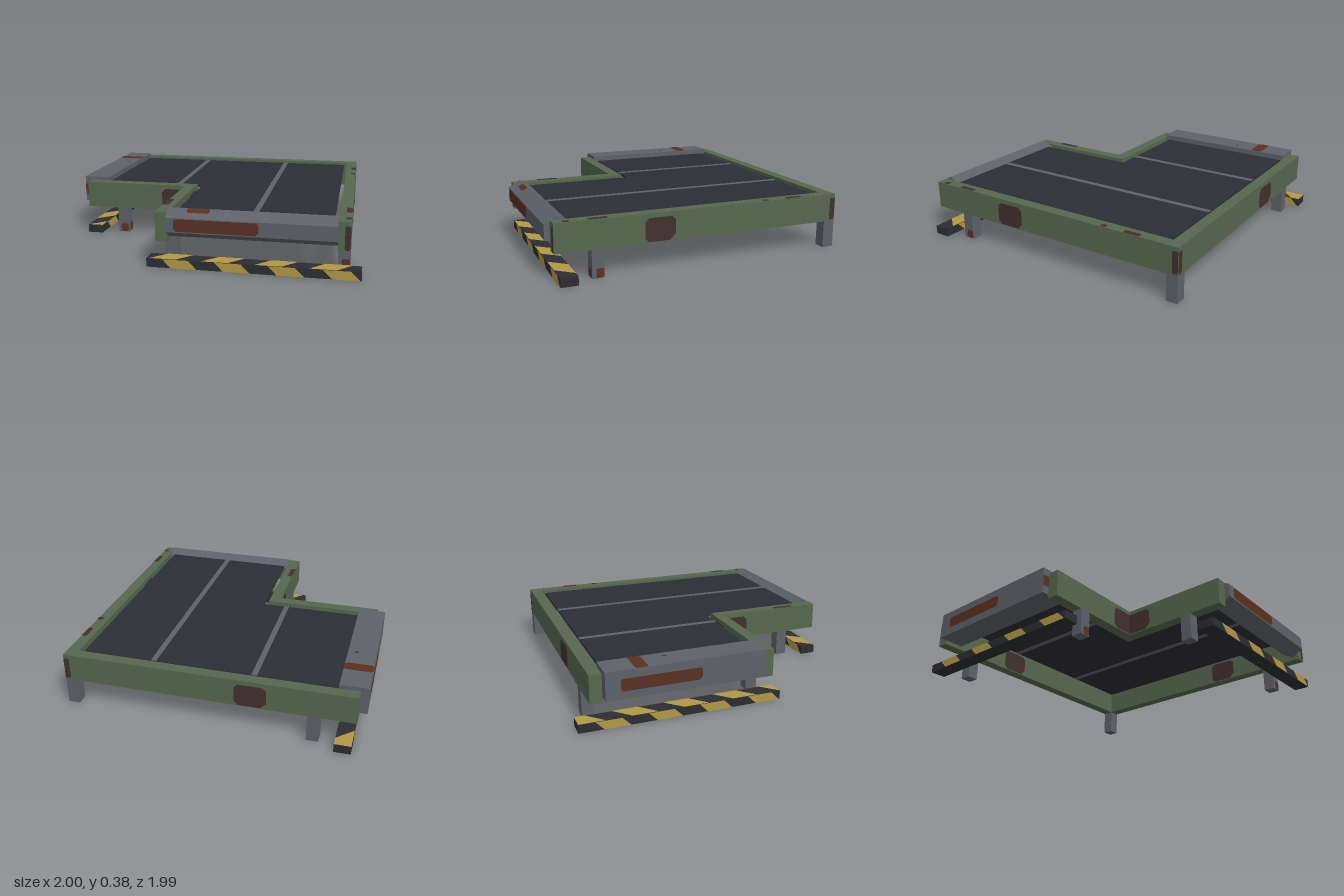
import * as THREE from 'three';
import { mergeGeometries } from 'three/addons/utils/BufferGeometryUtils.js';

const V = (x, y, z) => new THREE.Vector3(x, y, z);
const AXES = { px: V(1, 0, 0), nx: V(-1, 0, 0), py: V(0, 1, 0), ny: V(0, -1, 0), pz: V(0, 0, 1), nz: V(0, 0, -1) };

export function createModel() {
  const group = new THREE.Group();
  const material = (name, color) => {
    const m = new THREE.MeshStandardMaterial({ color });
    m.name = name;
    return m;
  };
  const green = material('green paint', 0x56674f);
  const steel = material('grey steel', 0x5e6169);
  const rubber = material('dark rubber', 0x2d2d36);
  const yellow = material('hazard yellow', 0xb39943);
  const black = material('hazard black', 0x2c2d32);
  const rust = material('rust', 0x5a3022);
  const darkRust = material('dark rust', 0x432f2f);

  const add = (name, geometry, mat) => {
    const mesh = new THREE.Mesh(geometry, mat);
    mesh.name = name;
    group.add(mesh);
    return mesh;
  };
  // Box given by its minimum and maximum corners
  const box = (name, mat, x0, x1, y0, y1, z0, z1) => {
    const g = new THREE.BoxGeometry(x1 - x0, y1 - y0, z1 - z0);
    g.translate((x0 + x1) / 2, (y0 + y1) / 2, (z0 + z1) / 2);
    return add(name, g, mat);
  };
  // Flat polygon on a face: points are [u, v] along two directions, lifted off the surface
  const flat = (points, origin, u, v) => {
    const n = u.clone().cross(v);
    const g = new THREE.ShapeGeometry(new THREE.Shape(points.map(p => new THREE.Vector2(...p))));
    g.applyMatrix4(new THREE.Matrix4().makeBasis(u, v, n).setPosition(origin.clone().addScaledVector(n, 0.002)));
    return g;
  };
  // Worn patch with clipped corners
  const patch = (name, mat, origin, u, v, w, h) => {
    const c = Math.min(w, h) * 0.16;
    add(name, flat([[c, 0], [w - c * 1.5, 0], [w, c * 1.5], [w, h - c], [w - c, h], [c, h], [0, h - c], [0, c]],
      origin, u, v), mat);
  };
  const { px, nx, py, ny, pz, nz } = AXES;

  // Side rails around the L-shaped bed
  const Y0 = 0.175, Y1 = 0.355;
  box('backRail', green, -0.95, 0.93, Y0, Y1, -0.93, -0.855);
  box('leftRail', green, 0.855, 0.93, Y0, Y1, -0.855, 0.955);
  box('innerFrontRail', green, -0.95, -0.16, Y0, Y1, 0.16, 0.235);
  box('innerSideRail', green, -0.235, -0.16, Y0, Y1, 0.235, 0.955);

  // Worn paint on both sides of every rail
  for (const z of [-0.93, 0.16]) patch('railWear', darkRust, V(-0.2, 0.18, z), nx, py, 0.2, 0.147);
  for (const z of [-0.855, 0.235]) patch('railWear', darkRust, V(-0.4, 0.18, z), px, py, 0.2, 0.147);
  for (const x of [0.93, -0.16]) patch('railWear', darkRust, V(x, 0.18, 0.405), nz, py, 0.195, 0.147);
  for (const x of [0.855, -0.235]) patch('railWear', darkRust, V(x, 0.18, 0.21), pz, py, 0.195, 0.147);
  // Worn spots on rail tops, corner and rail end
  for (const [x, z, d] of [[0.895, -0.56, 0.11], [0.895, 0.75, 0.12], [-0.235, 0.78, 0.15], [0.895, 0.9, 0.04], [0.895, -0.395, 0.04]])
    patch('railTopWear', darkRust, V(x, Y1, z), px, nz, 0.035, d);
  patch('cornerPlate', steel, V(0.89, Y1, -0.89), px, nz, 0.038, 0.038);
  patch('cornerWear', darkRust, V(0.93, 0.185, -0.89), nz, py, 0.038, 0.145);
  patch('cornerWear', darkRust, V(0.93, 0.185, -0.93), nx, py, 0.038, 0.145);
  patch('endWear', darkRust, V(0.895, 0.185, 0.955), px, py, 0.033, 0.145);

  // L-shaped belt
  const outline = [[-0.82, 0.83], [-0.82, -0.13], [-0.13, -0.13], [-0.13, -0.85], [0.83, -0.85], [0.83, 0.83]];
  const belt = new THREE.ExtrudeGeometry(new THREE.Shape(outline.map(p => new THREE.Vector2(...p))),
    { depth: 0.015, bevelEnabled: false });
  belt.rotateX(-Math.PI / 2).translate(0, 0.327, 0);
  add('belt', belt, rubber);

  // Belt seams, top and underside
  for (const [x, z1] of [[-0.3, 0.13], [0.355, 0.85]])
    box('beltSeam', steel, x - 0.018, x + 0.018, 0.325, 0.344, -0.83, z1);

  // Hexagonal front roller
  const roller = new THREE.CylinderGeometry(0.09, 0.09, 1.015, 6).toNonIndexed();
  roller.rotateZ(Math.PI / 2);
  // Turn one hexagon corner straight up
  roller.computeBoundingBox();
  if (roller.boundingBox.max.y < 0.085) roller.rotateX(Math.PI / 6);
  roller.translate(0.3475, 0.288, 0.912);
  roller.computeVertexNormals();
  add('frontRoller', roller, steel);
  patch('rollerRust', rust, V(-0.11, 0.25, 0.99), px, py, 0.51, 0.077);
  patch('rollerRust', rust, V(0.8, 0.25, 0.834), nx, py, 0.45, 0.077);
  const slope = V(0, 0.5, -Math.cos(Math.PI / 6));
  patch('rollerRust', rust, V(-0.04, 0.357, 0.948), px, slope, 0.14, 0.04);

  // Square end housing on the other arm
  box('endHousing', steel, -1, -0.82, 0.2, 0.378, -0.85, 0.16);
  patch('housingRust', rust, V(-1, 0.378, -0.59), px, nz, 0.18, 0.08);
  patch('housingRust', rust, V(-0.885, 0.378, -0.44), px, nz, 0.02, 0.025);
  patch('housingRust', rust, V(-1, 0.25, -0.76), pz, py, 0.5, 0.077);
  patch('housingRust', rust, V(-0.82, 0.25, 0.1), nz, py, 0.5, 0.077);
  patch('housingRust', rust, V(-1, 0.25, 0.16), px, py, 0.05, 0.077);

  // Legs with rusty feet
  for (const [x, z] of [[0.892, -0.892], [0.892, 0.697], [-0.197, 0.697], [-0.69, 0.2], [-0.69, -0.892]]) {
    const r = 0.038;
    box('leg', steel, x - r, x + r, 0, Y0 + 0.005, z - r, z + r);
    if (z > 0 && x !== -0.197) {
      patch('legRust', rust, V(x - 0.015, 0.003, z + r), px, py, 0.05, 0.057);
      patch('legRust', rust, V(x + r, 0.003, z + 0.012), nz, py, 0.048, 0.057);
    }
  }

  // Slanted hazard stripes for one face, cut off at its ends
  const L = 1.3, H = 0.055, W = 0.105, step = L / 4;
  const stripes = (origin, u, v, h, start, lean) => {
    const cut = a => Math.min(L, Math.max(0, a));
    const parts = [];
    for (let s = start; s < L; s += step) {
      const e = s + step / 2;
      const a = cut(s + lean), b = cut(e + lean), c = cut(e), d = cut(s);
      if (b - a + c - d > 0.01) parts.push(flat([[a, 0], [b, 0], [c, h], [d, h]], origin, u, v));
    }
    return mergeGeometries(parts);
  };

  // Hazard bar along the front
  box('frontHazardBar', black, -0.3, 1, 0, H, 0.835, 0.94);
  add('frontHazardStripes', mergeGeometries([
    stripes(V(-0.3, 0, 0.94), px, py, H, 0.1, 0.055),
    stripes(V(1, 0, 0.835), nx, py, H, 0.1, 0.055),
    stripes(V(-0.3, H, 0.94), px, nz, W, 0.11, -0.09),
    stripes(V(-0.3, 0.003, 0.835), px, pz, W, 0.11, -0.09),
  ]), yellow);

  // Hazard bar along the other arm
  box('sideHazardBar', black, -0.935, -0.83, 0, H, -1, 0.3);
  add('sideHazardStripes', mergeGeometries([
    stripes(V(-0.83, 0, 0.3), nz, py, H, 0.1, 0.055),
    stripes(V(-0.935, 0, -1), pz, py, H, 0.1, 0.055),
    stripes(V(-0.935, H, -1), pz, px, W, -0.1, 0.1),
    stripes(V(-0.83, 0.003, -1), pz, nx, W, -0.1, 0.1),
  ]), yellow);

  return group;
}
